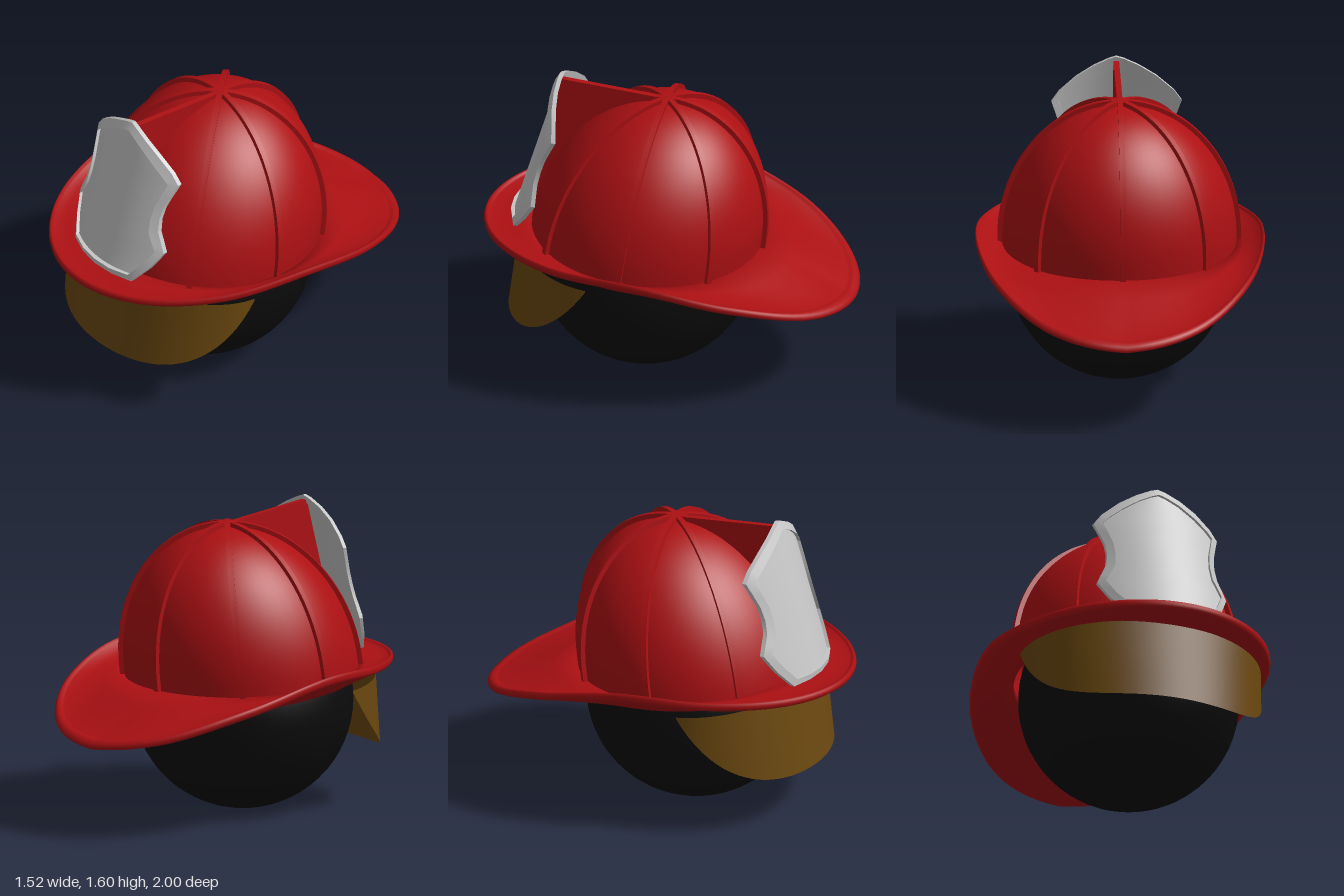
import * as THREE from 'three';
import { toCreasedNormals } from 'three/addons/utils/BufferGeometryUtils.js';

const paint = (name, color, side = THREE.DoubleSide) =>
  Object.assign(new THREE.MeshStandardMaterial({ color, side }), { name });

// Surface through nu x nv points, optionally closed in either direction
function grid(nu, nv, fn, closeU = false, closeV = false) {
  const pos = [], idx = [];
  for (let i = 0; i < nu; i++) for (let j = 0; j < nv; j++) pos.push(...fn(i, j));
  const at = (i, j) => (i % nu) * nv + (j % nv);
  for (let i = 0; i < (closeU ? nu : nu - 1); i++) {
    for (let j = 0; j < (closeV ? nv : nv - 1); j++) {
      const a = at(i, j), b = at(i + 1, j), c = at(i + 1, j + 1), d = at(i, j + 1);
      idx.push(a, b, c, a, c, d);
    }
  }
  const g = new THREE.BufferGeometry();
  g.setAttribute('position', new THREE.Float32BufferAttribute(pos, 3));
  g.setIndex(idx);
  g.computeVertexNormals();
  return g;
}

// Smooth height from front (0) to back (1)
function heights(values) {
  const curve = new THREE.SplineCurve(values.map((y, i) => new THREE.Vector2(i, y)));
  return (k) => curve.getPoint(k).y;
}

const lerp = THREE.MathUtils.lerp;
const R = 0.615, H = 0.75, BASE = 0.77, CZ = 0.125;

// Dome parts lean backwards as they rise
function lean(g) {
  const p = g.attributes.position;
  for (let i = 0; i < p.count; i++) p.setZ(i, p.getZ(i) + CZ - 0.13 * (p.getY(i) - BASE));
  g.computeVertexNormals();
  return g;
}

// Quarter-ellipse profile from the dome foot to the apex
function arc(grow, n = 28) {
  const pts = [new THREE.Vector2(R + grow, 0.71)];
  for (let i = 0; i <= n; i++) {
    const a = (i / n) * Math.PI / 2;
    pts.push(new THREE.Vector2((R + grow) * Math.cos(a), BASE + (H + grow) * Math.sin(a)));
  }
  return pts;
}

// Plate drawn in the z-y plane, centred on x = 0
function plate(points, width) {
  const g = new THREE.ExtrudeGeometry(new THREE.Shape(points), { depth: width, bevelEnabled: false });
  return g.translate(0, 0, -width / 2).rotateY(-Math.PI / 2);
}

function brimGeometry() {
  const outer = heights([0.762, 0.767, 0.785, 0.8, 0.68, 0.545, 0.488]);
  const top = heights([0.77, 0.77, 0.75, 0.73, 0.72, 0.71, 0.71]);
  const under = heights([0.735, 0.73, 0.7, 0.68, 0.65, 0.635, 0.63]);
  // [position from dome to edge, height offset, underside?]
  const section = [[0, 0, 1], [0.35, -0.008, 1], [0.7, -0.016, 1], [0.94, -0.022, 1], [0.985, -0.015, 1],
    [1, 0, 0], [0.985, 0.015, 0], [0.95, 0.021, 0], [0.9, 0.015, 0], [0.87, 0.004, 0],
    [0.6, 0, 0], [0.3, 0, 0], [0, 0, 0]];
  const n = 96;
  return grid(n, section.length, (i, j) => {
    const t = (i / n) * Math.PI * 2, k = 1 - Math.abs(1 - (2 * i) / n);
    const [s, dy, low] = section[j];
    return [
      Math.sin(t) * lerp(0.6, 0.76, s),
      lerp(low ? under(k) : top(k), outer(k), s) + dy,
      lerp(CZ + 0.6 * Math.cos(t), Math.cos(t), s),
    ];
  }, true, true);
}

// Half outline of the front shield: outer x, y, then inner x, y
const outline = [
  [0, 1.6, 0, 1.56], [0.04, 1.587, 0.04, 1.545], [0.12, 1.55, 0.11, 1.51], [0.21, 1.497, 0.2, 1.452],
  [0.3, 1.425, 0.27, 1.398], [0.342, 1.37, 0.302, 1.365], [0.318, 1.29, 0.28, 1.285],
  [0.302, 1.23, 0.266, 1.23], [0.297, 1.16, 0.261, 1.155], [0.307, 1.09, 0.27, 1.08],
  [0.335, 1.03, 0.3, 1.025], [0.357, 0.98, 0.321, 0.985], [0.31, 0.88, 0.28, 0.9],
  [0.24, 0.785, 0.22, 0.82], [0.12, 0.785, 0.11, 0.815], [0, 0.785, 0, 0.815],
];
const shieldZ = (x, y) => 0.86 - 0.3 * (y - 0.8) - 0.95 * x * x;

function shieldRim() {
  const mirrored = outline.slice(1, -1).reverse().map(([a, b, c, d]) => [-a, b, -c, d]);
  const loop = [...outline, ...mirrored];
  const section = [[2, -0.035], [2, 0], [0, -0.012], [0, -0.035]];
  return toCreasedNormals(grid(loop.length, 4, (i, j) => {
    const [o, dz] = section[j], x = loop[i][o], y = loop[i][o + 1];
    return [x, y, shieldZ(x, y) + dz];
  }, true, true), 0.5);
}

function shieldPanel() {
  const rows = outline.slice(0, 14).reverse(), n = 17;
  return grid(n, rows.length, (i, j) => {
    const x = rows[j][2] * ((2 * i) / (n - 1) - 1), y = rows[j][3];
    return [x, y, shieldZ(x, y) - 0.02];
  });
}

function visorGeometry() {
  const n = 49, m = 9;
  return grid(n, m, (i, j) => {
    const a = (i / (n - 1) - 0.5) * Math.PI, c = 1 - Math.cos(a);
    const y = lerp(0.29 + 0.39 * c * c, 0.74 - 0.05 * c, j / (m - 1));
    const depth = 0.5 + 0.06 * (0.74 - y) / 0.45;
    return [0.655 * Math.sin(a), y, 0.3 + depth * Math.cos(a)];
  });
}

export function createModel() {
  const model = new THREE.Group();
  model.name = 'fireHelmet';
  const red = paint('helmet red', 0xac1013);
  const silver = paint('shield silver', 0xc6c6c6);
  const amber = paint('visor amber', 0x6b480f);
  const black = paint('head black', 0x0b0b0b, THREE.FrontSide);
  const add = (name, geometry, material, parent = model) => {
    const mesh = new THREE.Mesh(geometry, material);
    mesh.name = name;
    parent.add(mesh);
    return mesh;
  };

  // Head form under the helmet
  add('head', new THREE.SphereGeometry(0.58, 48, 32), black).position.set(0, 0.58, 0.14);

  // Shell and brim
  add('dome', lean(new THREE.LatheGeometry(arc(0), 64)), red);
  add('brim', brimGeometry(), red);

  // Eight raised ribs meeting at a small boss
  const ribs = new THREE.Group();
  ribs.name = 'ribs';
  model.add(ribs);
  const ribShape = [...arc(0.024), ...arc(-0.02).reverse()];
  for (let k = 0; k < 8; k++) {
    const g = lean(plate(ribShape, 0.03).rotateY((k * Math.PI) / 4));
    add('rib', toCreasedNormals(g, 0.5), red, ribs);
  }
  add('boss', new THREE.CylinderGeometry(0.038, 0.042, 0.05, 24), red).position.set(0, 1.517, 0.025);

  // Fin that carries the shield
  const fin = [[0, 1.535], [0.6, 1.575], [0.795, 0.9], [0.6, 0.9], [0.1, 1.4]];
  add('fin', plate(fin.map(([z, y]) => new THREE.Vector2(z, y)), 0.03), red);

  // Front shield
  const shield = new THREE.Group();
  shield.name = 'frontShield';
  model.add(shield);
  add('shieldRim', shieldRim(), silver, shield);
  add('shieldPanel', shieldPanel(), silver, shield);

  // Face visor
  add('visor', visorGeometry(), amber);
  return model;
}
